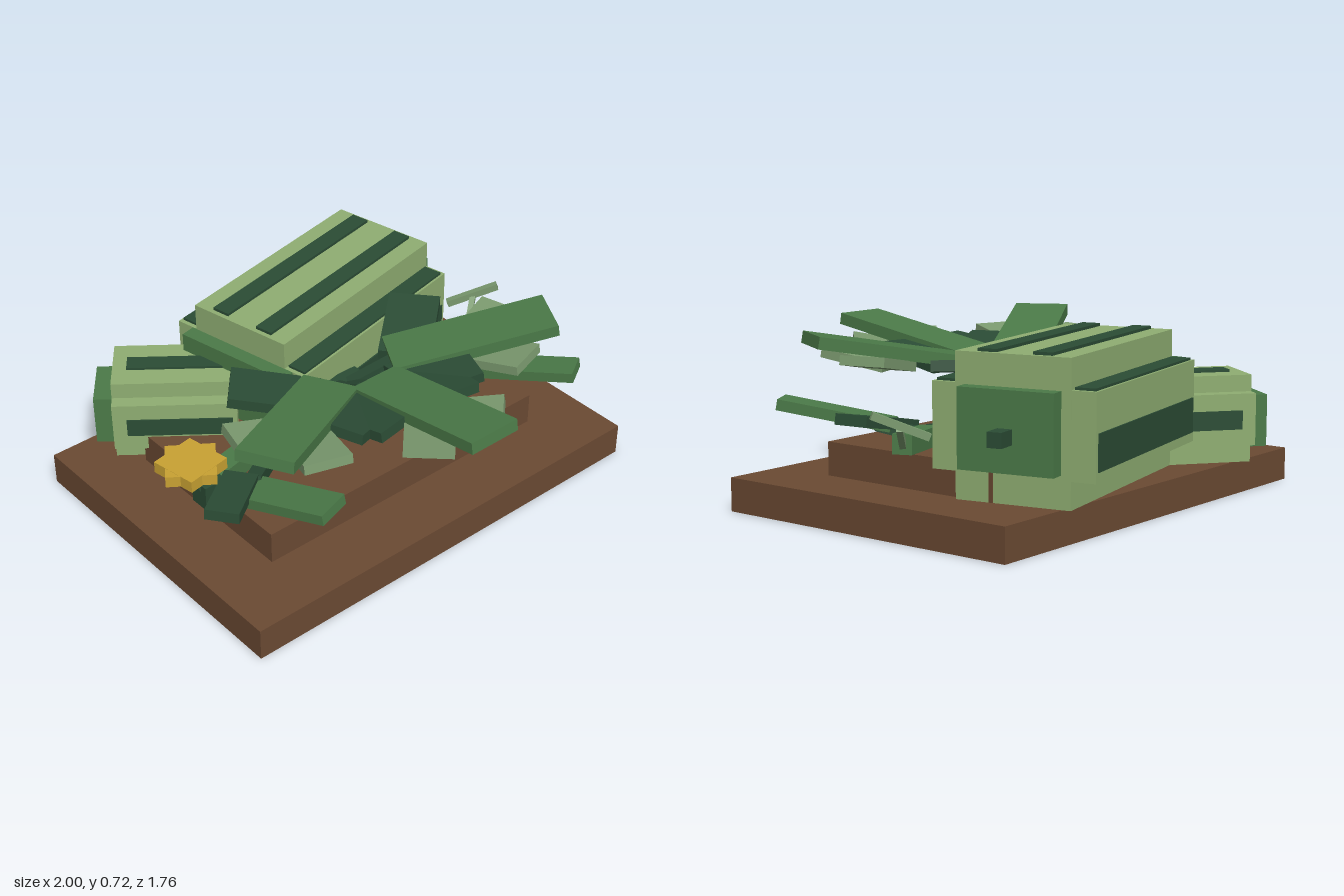
import * as THREE from 'three';

const mat = (name, color) => {
  const m = new THREE.MeshStandardMaterial({ color });
  m.name = name;
  return m;
};

export function createModel() {
  const soil = mat('soilBrown', 0x6b4a33);
  const rind = mat('paleRind', 0x8fae72);
  const green = mat('leafGreen', 0x4b7a48);
  const dark = mat('darkGreen', 0x2b4c35);
  const sage = mat('sageGreen', 0x7b9a6f);
  const yellow = mat('blossomYellow', 0xc9a233);

  const root = new THREE.Group();
  root.name = 'melonPatch';

  // Box from its min and max on each axis
  function box(parent, name, m, x0, x1, y0, y1, z0, z1) {
    const mesh = new THREE.Mesh(new THREE.BoxGeometry(x1 - x0, y1 - y0, z1 - z0), m);
    mesh.position.set((x0 + x1) / 2, (y0 + y1) / 2, (z0 + z1) / 2);
    mesh.name = name;
    parent.add(mesh);
    return mesh;
  }

  // Flat bar running between two points, its width kept level
  function bar(parent, name, m, from, to, width, thick) {
    const a = new THREE.Vector3(...from), b = new THREE.Vector3(...to);
    const forward = b.clone().sub(a);
    const length = forward.length();
    forward.normalize();
    const side = new THREE.Vector3(0, 1, 0).cross(forward).normalize();
    const up = forward.clone().cross(side);
    const mesh = new THREE.Mesh(new THREE.BoxGeometry(width, thick, length), m);
    mesh.quaternion.setFromRotationMatrix(new THREE.Matrix4().makeBasis(side, up, forward));
    mesh.position.copy(a).add(b).multiplyScalar(0.5);
    mesh.name = name;
    parent.add(mesh);
    return mesh;
  }

  // Stepped soil bed
  box(root, 'soilBase', soil, -1, 0.975, 0, 0.14, -0.755, 0.66);
  box(root, 'soilMound', soil, -0.72, 0.7, 0.14, 0.28, -0.475, 0.38);

  // Large melon lying on its side
  const melon = new THREE.Group();
  melon.name = 'largeMelon';
  melon.position.set(0.19, 0, -0.45);
  melon.rotation.y = THREE.MathUtils.degToRad(12);
  root.add(melon);
  box(melon, 'melonTallBody', rind, -0.5, 0.5, 0.14, 0.71, -0.24, 0.24);
  box(melon, 'melonWideBody', rind, -0.499, 0.499, 0.25, 0.59, -0.34, 0.34);
  for (const s of [-1, 1]) {
    box(melon, 'topStripe', dark, -0.48, 0.48, 0.708, 0.722, s * 0.115 - 0.04, s * 0.115 + 0.04);
    box(melon, 'shoulderStripe', dark, -0.48, 0.48, 0.588, 0.6, s * 0.288 - 0.042, s * 0.288 + 0.042);
    box(melon, 'sideStripe', dark, -0.48, 0.48, 0.29, 0.435, s * 0.341 - 0.005, s * 0.341 + 0.005);
  }
  box(melon, 'melonStemCap', green, 0.49, 0.565, 0.27, 0.585, -0.2, 0.2);
  box(melon, 'melonStem', dark, 0.56, 0.65, 0.38, 0.44, -0.03, 0.03);
  box(melon, 'melonTailCap', green, -0.565, -0.49, 0.25, 0.59, -0.26, 0.28);

  // Small melon
  const small = new THREE.Group();
  small.name = 'smallMelon';
  small.position.set(-0.505, 0, -0.53);
  small.rotation.y = THREE.MathUtils.degToRad(-38);
  root.add(small);
  box(small, 'smallTallBody', rind, -0.26, 0.26, 0.14, 0.51, -0.14, 0.14);
  box(small, 'smallWideBody', rind, -0.259, 0.259, 0.22, 0.44, -0.2, 0.2);
  box(small, 'smallTopStripe', dark, -0.2, 0.24, 0.508, 0.52, -0.04, 0.04);
  for (const s of [-1, 1]) {
    box(small, 'smallSideStripe', dark, -0.2, 0.24, 0.29, 0.37, s * 0.201 - 0.004, s * 0.201 + 0.004);
  }
  box(small, 'smallEndCap', green, -0.34, -0.25, 0.2, 0.42, -0.12, 0.12);

  // Central plant: three fronds fanned over a short trunk
  box(root, 'trunk', dark, -0.107, 0.083, 0.28, 0.48, -0.06, 0.05);
  for (const yaw of [-61, 0, 61]) {
    const frond = new THREE.Group();
    frond.name = 'frond';
    frond.position.x = -0.012;
    frond.rotation.y = THREE.MathUtils.degToRad(yaw);
    root.add(frond);
    bar(frond, 'frondStalk', dark, [0, 0.45, 0], [0, 0.575, 0.25], 0.055, 0.05);
    bar(frond, 'mainLeaf', green, [0, 0.575, 0.18], [0, 0.695, 0.87], 0.24, 0.05);
    for (const s of [-1, 1]) {
      bar(frond, 'sageLeaflet', sage, [s * 0.01, 0.575, 0.52], [s * 0.2, 0.625, 0.72], 0.2, 0.04);
      bar(frond, 'darkLeaflet', dark, [s * 0.02, 0.555, 0.25], [s * 0.363, 0.61, 0.375], 0.22, 0.045);
    }
  }

  // Ground vines
  bar(root, 'leftVine', green, [-0.1, 0.32, -0.14], [-0.73, 0.33, 0.01], 0.09, 0.08);
  bar(root, 'rightVine', green, [0.5, 0.32, 0.01], [0.81, 0.34, -0.12], 0.08, 0.08);
  bar(root, 'rightVineRoot', dark, [0.05, 0.32, -0.05], [0.52, 0.32, 0.0], 0.07, 0.08);

  // Low leaf clusters on both sides
  bar(root, 'leftLowLeaf', green, [-0.67, 0.36, 0.2], [-0.555, 0.435, 0.565], 0.16, 0.045);
  bar(root, 'leftDarkLeaf', dark, [-0.66, 0.38, 0.12], [-0.89, 0.41, 0.295], 0.14, 0.045);
  bar(root, 'rightLowLeaf', green, [0.58, 0.36, 0.13], [0.815, 0.44, 0.53], 0.13, 0.045);
  bar(root, 'rightDarkLeaf', dark, [0.5, 0.35, 0.15], [0.855, 0.415, 0.105], 0.15, 0.045);
  for (const s of [-1, 1]) {
    bar(root, 'lowStalk', dark, [s * 0.45, 0.3, 0.02], [s * 0.64, 0.37, 0.17], 0.06, 0.06);
  }

  // Eight-pointed blossom on a dark stalk
  box(root, 'blossomStalk', dark, -0.83, -0.73, 0.29, 0.4, 0.02, 0.11);
  bar(root, 'blossomNeck', dark, [-0.8, 0.37, 0.06], [-0.85, 0.48, 0.05], 0.05, 0.05);
  const blossom = new THREE.Group();
  blossom.name = 'blossom';
  blossom.position.set(-0.85, 0, 0.05);
  root.add(blossom);
  for (const turn of [10, 55]) {
    const petals = box(blossom, 'petals', yellow, -0.1, 0.1, 0.47, 0.52, -0.1, 0.1);
    petals.rotation.y = THREE.MathUtils.degToRad(turn);
    if (turn === 55) petals.scale.y = 0.96;
  }

  // Forked tendril at the tip of the right vine
  bar(root, 'tendrilStem', sage, [0.79, 0.32, -0.11], [0.9, 0.42, -0.19], 0.025, 0.025);
  bar(root, 'tendrilFork', sage, [0.815, 0.385, -0.265], [0.985, 0.475, -0.125], 0.03, 0.03);

  return root;
}
